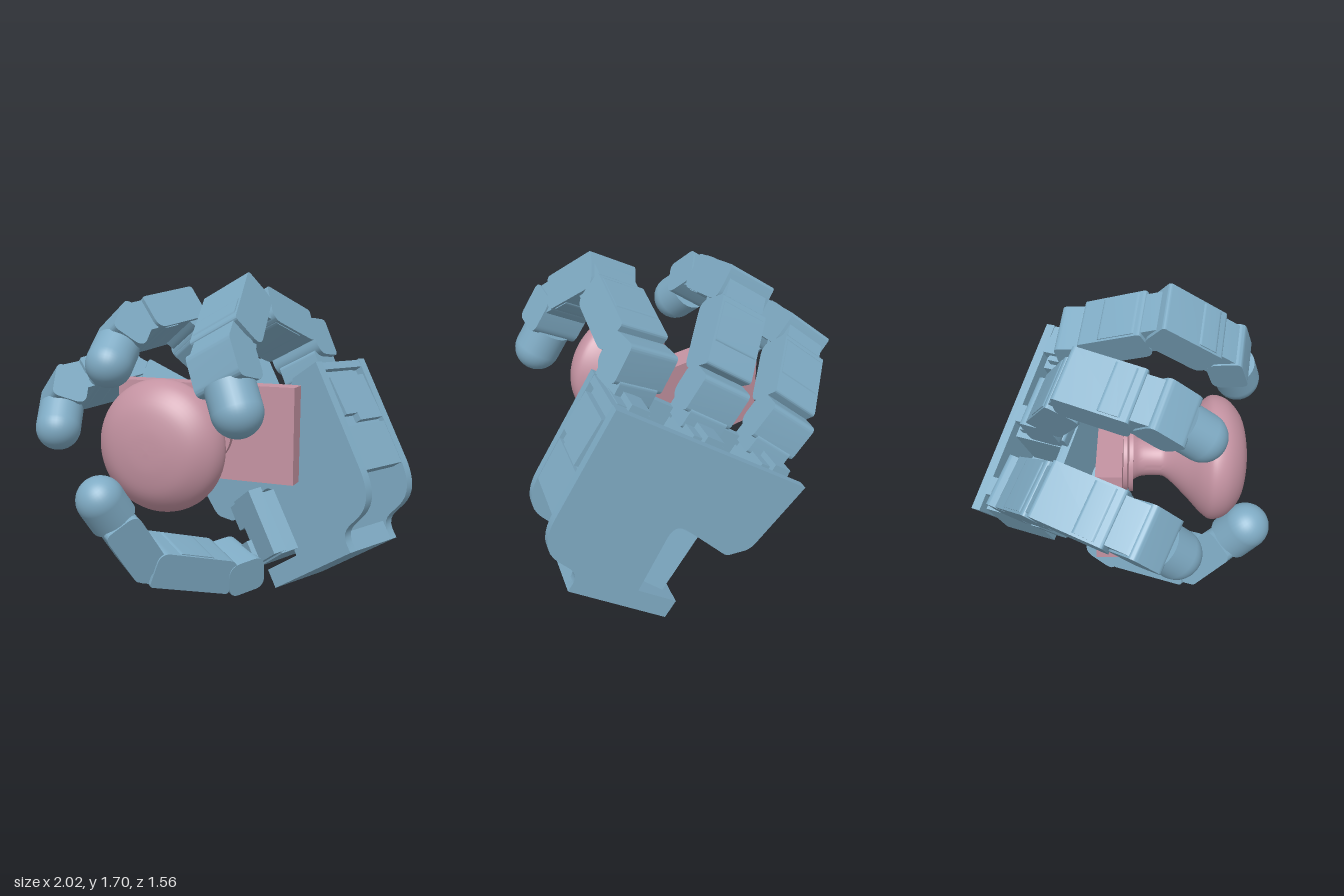
import * as THREE from 'three';
import { toCreasedNormals } from 'three/addons/utils/BufferGeometryUtils.js';

const blue = new THREE.MeshStandardMaterial({ color: 0x7fabc4 });
const pink = new THREE.MeshStandardMaterial({ color: 0xc493a2 });
const rad = THREE.MathUtils.degToRad;
const V = (x, y, z) => new THREE.Vector3(x, y, z);

function add(parent, name, geo, mat = blue) {
  const m = new THREE.Mesh(geo, mat);
  m.name = name;
  parent.add(m);
  return m;
}

// box given by its ranges along x, y and z
function block(parent, name, x0, x1, y0, y1, z0, z1, mat = blue) {
  const geo = new THREE.BoxGeometry(x1 - x0, y1 - y0, z1 - z0);
  geo.translate((x0 + x1) / 2, (y0 + y1) / 2, (z0 + z1) / 2);
  return add(parent, name, geo, mat);
}

function extrude(shape, depth) {
  const geo = new THREE.ExtrudeGeometry(shape, { depth, bevelEnabled: false, curveSegments: 10 });
  return toCreasedNormals(geo, 0.5);
}

// side profile of a link: y runs along the link, x towards the palm side,
// with one radius for the dorsal and one for the palmar corners
function profile(y0, y1, t, rDorsal, rPalm) {
  const h = t / 2, s = new THREE.Shape();
  s.moveTo(-h + rDorsal, y0);
  s.lineTo(h - rPalm, y0);
  s.quadraticCurveTo(h, y0, h, y0 + rPalm);
  s.lineTo(h, y1 - rPalm);
  s.quadraticCurveTo(h, y1, h - rPalm, y1);
  s.lineTo(-h + rDorsal, y1);
  s.quadraticCurveTo(-h, y1, -h, y1 - rDorsal);
  s.lineTo(-h, y0 + rDorsal);
  s.quadraticCurveTo(-h, y0, -h + rDorsal, y0);
  return s;
}

function slab(parent, name, shape, width) {
  const geo = extrude(shape, width);
  geo.translate(0, 0, -width / 2);
  geo.rotateY(-Math.PI / 2);
  return add(parent, name, geo);
}

// link reaching from its own joint to the next one along +y; the body begins
// at start and stops short of the next joint by gap
function link(name, len, start, gap) {
  const g = new THREE.Group();
  g.name = name;
  slab(g, 'linkBody', profile(start, len - gap, 0.19, 0.02, 0.06), 0.275);
  slab(g, 'knuckle', profile(len - 0.16, len + 0.07, 0.17, 0.06, 0.08), 0.235);
  slab(g, 'motorCover', profile(len * 0.35, len - 0.13, 0.2, 0.02, 0.03), 0.25);
  return g;
}

// last link with its round rubber tip
function tipLink(name, len, start) {
  const g = new THREE.Group();
  g.name = name;
  slab(g, 'linkBody', profile(start, len - 0.11, 0.19, 0.04, 0.06), 0.255);
  const neck = new THREE.CylinderGeometry(0.12, 0.12, 0.13, 32);
  neck.translate(0, len - 0.065, 0);
  add(g, 'tipNeck', neck);
  const dome = new THREE.SphereGeometry(0.12, 32, 12, 0, Math.PI * 2, 0, Math.PI / 2);
  dome.translate(0, len, 0);
  add(g, 'fingertip', dome);
  return g;
}

// finger rising from the palm top; angles are each link's bend from the finger axis
function finger(name, a, tilt, twist, angles) {
  const g = new THREE.Group();
  g.name = name;
  g.position.set(a, 0.95, 0.3);
  g.rotation.set(0, rad(twist), rad(-tilt), 'ZYX');
  slab(g, 'fingerBase', profile(-0.05, 0.06, 0.2, 0.02, 0.02), 0.22);
  slab(g, 'baseKnuckle', profile(0.03, 0.235, 0.19, 0.03, 0.07), 0.275);
  let u = 0.164, v = 0;
  [0.54, 0.384, 0.267].forEach((len, i) => {
    const th = rad(angles[i]);
    const part = [
      () => link('proximalLink', len, 0.07, 0.1),
      () => link('middleLink', len, -0.08, 0.09),
      () => tipLink('distalLink', len, -0.055),
    ][i]();
    part.position.set(0, u, v);
    part.rotation.x = th;
    g.add(part);
    u += len * Math.cos(th);
    v += len * Math.sin(th);
  });
  return g;
}

// outline shared by the front and back palm plates, with the thumb notch
function plateShape() {
  const s = new THREE.Shape();
  s.moveTo(-0.58, 0);
  s.lineTo(0, 0);
  s.lineTo(0, 0.05);
  s.bezierCurveTo(0.01, 0.16, 0.14, 0.1, 0.215, 0.19);
  s.quadraticCurveTo(0.262, 0.25, 0.265, 0.36);
  s.lineTo(0.29, 0.93);
  s.lineTo(-0.857, 0.93);
  s.lineTo(-0.8, 0.57);
  s.quadraticCurveTo(-0.795, 0.52, -0.765, 0.495);
  s.lineTo(-0.71, 0.455);
  s.quadraticCurveTo(-0.69, 0.436, -0.66, 0.442);
  s.lineTo(-0.39, 0.5);
  s.quadraticCurveTo(-0.31, 0.515, -0.315, 0.43);
  s.lineTo(-0.345, 0.107);
  s.lineTo(-0.58, 0.107);
  s.closePath();
  return s;
}

function palm() {
  const g = new THREE.Group();
  g.name = 'palm';
  const plate = extrude(plateShape(), 0.05);
  add(g, 'backPlate', plate);
  add(g, 'frontPlate', plate).position.z = 0.36;
  block(g, 'palmFoot', -0.58, 0, 0, 0.105, 0.01, 0.4);
  // shelf and outer wall between the plates, hollow below
  const core = new THREE.Shape();
  [[-0.77, 0.51], [0.2, 0.51], [0.2, 0.335], [0.262, 0.335], [0.272, 0.57], [-0.79, 0.57]]
    .forEach(([x, y], i) => (i ? core.lineTo(x, y) : core.moveTo(x, y)));
  add(g, 'palmCore', extrude(core, 0.32)).position.z = 0.045;
  // finger motors standing in the open top, with stepped caps
  for (const a of [-0.718, -0.283, 0.152]) {
    block(g, 'fingerMotor', a - 0.11, a + 0.1, 0.56, 0.88, 0.06, 0.36);
    block(g, 'motorCap', a - 0.08, a + 0.1, 0.86, 0.93, 0.09, 0.34);
    block(g, 'motorStep', a - 0.05, a + 0.05, 0.9, 0.96, 0.06, 0.2);
  }
  // servo recessed in the palm's outer edge, under a top rail
  block(g, 'sideServo', 0.2, 0.288, 0.63, 0.84, 0.07, 0.35);
  block(g, 'sideServoFoot', 0.2, 0.288, 0.59, 0.65, 0.07, 0.26);
  block(g, 'topRail', 0.18, 0.287, 0.885, 0.925, 0.04, 0.37);
  return g;
}

// place a part at p with +y along dir and the hinge along axis
function orient(part, p, dir, axis) {
  const y = dir.clone().normalize();
  const z = axis.clone().cross(y).normalize();
  const x = y.clone().cross(z);
  part.quaternion.setFromRotationMatrix(new THREE.Matrix4().makeBasis(x, y, z));
  part.position.copy(p);
  return part;
}

function thumb() {
  const g = new THREE.Group();
  g.name = 'thumb';
  // motor housing turned in the notch
  const house = new THREE.Group();
  house.name = 'thumbHousing';
  house.position.set(-0.476, 0, 0.118);
  house.rotation.y = rad(-16);
  block(house, 'thumbMotor', -0.03, 0.24, 0.14, 0.48, -0.1, 0.34);
  block(house, 'thumbMotorCap', 0.06, 0.25, 0.15, 0.51, 0.31, 0.39);
  block(house, 'thumbCapArm', -0.02, 0.08, 0.36, 0.5, 0.31, 0.38);
  block(house, 'thumbBracket', -0.08, 0.08, 0.15, 0.28, 0.24, 0.42);
  g.add(house);

  const j1 = V(-0.655, 0.195, 0.605), j2 = V(-0.68, 0.375, 1.125), tip = V(-0.495, 0.661, 1.375);
  const d1 = j2.clone().sub(j1), d2 = tip.clone().sub(j2);
  const hinge = d1.clone().cross(d2).normalize();
  const base = new THREE.Group();
  base.name = 'thumbBase';
  slab(base, 'thumbKnuckle', profile(0.04, 0.26, 0.19, 0.06, 0.07), 0.275);
  const h = V(-0.276, 0, 0.961);
  g.add(orient(base, j1.clone().addScaledVector(h, -0.177), h, hinge));
  g.add(orient(link('thumbProximalLink', d1.length(), 0.05, 0.02), j1, d1, hinge));
  g.add(orient(tipLink('thumbDistalLink', d2.length(), -0.03), j2, d2, hinge));
  return g;
}

function knob() {
  const g = new THREE.Group();
  g.name = 'doorKnob';
  block(g, 'wallPlate', -0.56, 0.45, 0.63, 1.135, -0.095, 0.03, pink);
  // turned profile: rose, neck, flare and domed face
  const body = new THREE.SplineCurve([[0.125, 0.08], [0.105, 0.12], [0.1, 0.2], [0.115, 0.255], [0.21, 0.355],
    [0.295, 0.435], [0.325, 0.49], [0.3, 0.565], [0.22, 0.63], [0.11, 0.66], [0, 0.667]]
    .map(([r, z]) => new THREE.Vector2(r, z))).getPoints(50);
  body[body.length - 1].x = 0;
  const rose = [[0.18, 0.025], [0.18, 0.05], [0.165, 0.055], [0.185, 0.06], [0.185, 0.08]]
    .map(([r, z]) => new THREE.Vector2(r, z));
  const geo = toCreasedNormals(new THREE.LatheGeometry([...rose, ...body], 64), 0.6);
  geo.rotateX(Math.PI / 2);
  add(g, 'knob', geo, pink).position.set(-0.06, 0.885, 0);
  return g;
}

export function createModel() {
  const model = new THREE.Group();
  model.name = 'robotHandOnKnob';
  // hand frame: x across the palm, y along the fingers, z out of the palm
  const hand = new THREE.Group();
  hand.name = 'robotHand';
  const x = V(0.78, 0.543, 0.306).normalize();
  const y = V(-0.377, 0.02, 0.926).cross(x).normalize();
  const z = x.clone().cross(y);
  hand.quaternion.setFromRotationMatrix(new THREE.Matrix4().makeBasis(x, y, z));
  hand.position.set(0.925, 0.317, -0.31);
  hand.add(palm(), thumb());
  hand.add(finger('outerFinger', -0.718, -5, -7, [47.5, 95, 150]));
  hand.add(finger('middleFinger', -0.283, 0, -1.5, [36, 100, 137]));
  hand.add(finger('innerFinger', 0.152, 5, 11.5, [74, 135, 174]));
  model.add(hand, knob());
  return model;
}
